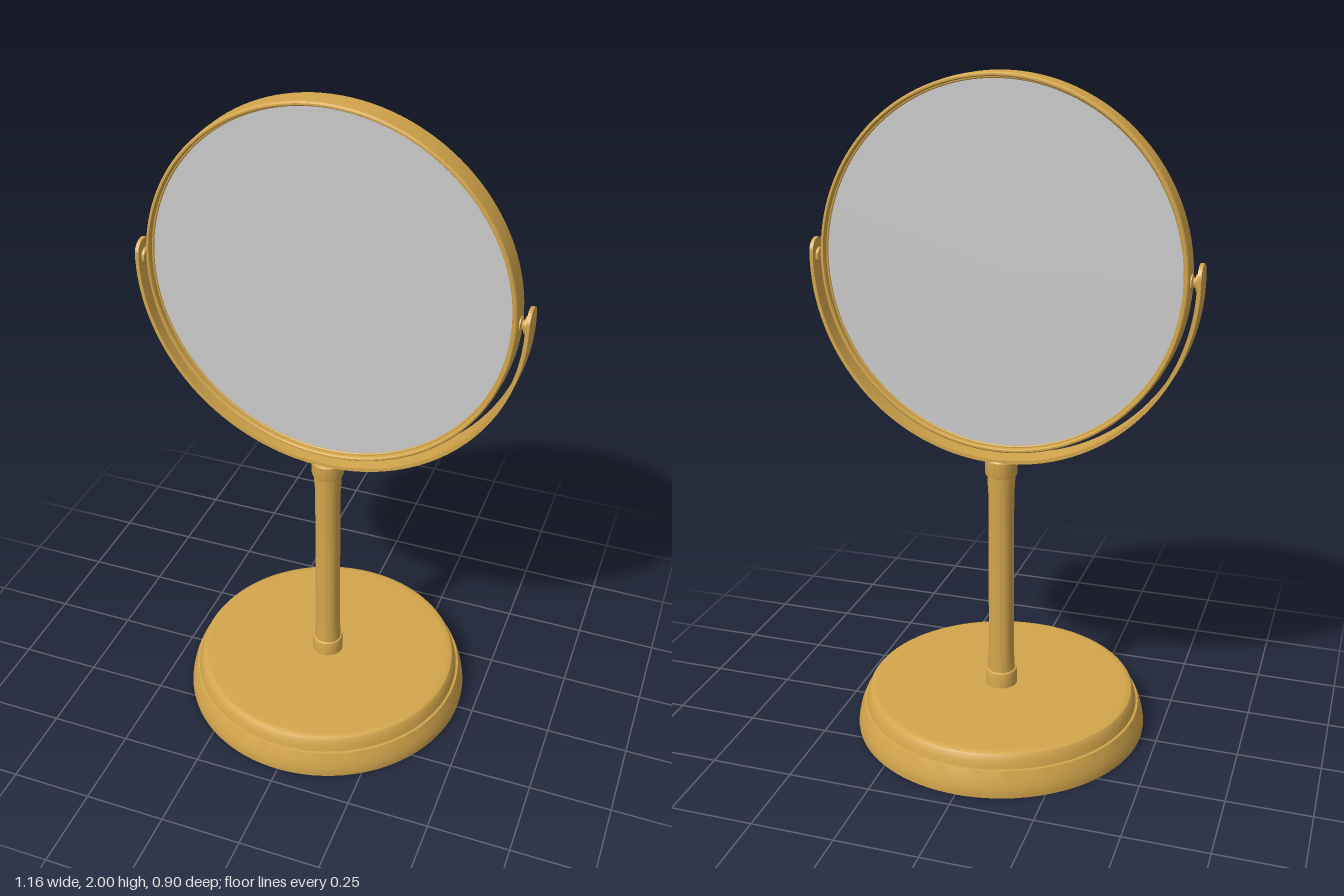
import * as THREE from 'three';
import { toCreasedNormals } from 'three/addons/utils/BufferGeometryUtils.js';

const brass = new THREE.MeshStandardMaterial({ color: 0xd4a64c });
const glass = new THREE.MeshStandardMaterial({ color: 0xc0c0c0 });

function add(parent, name, geometry, material = brass) {
  const mesh = new THREE.Mesh(geometry, material);
  mesh.name = name;
  parent.add(mesh);
  return mesh;
}

// Turned part from [radius, height] pairs, bottom to top
function turned(profile, segments = 96) {
  const points = profile.map(([r, y]) => new THREE.Vector2(r, y));
  return toCreasedNormals(new THREE.LatheGeometry(points, segments), 0.5);
}

// Thin strip bent into a U: half circle, short upright ends, rounded tips
function forkGeometry(radius, upright, width, thickness) {
  const arc = radius * Math.PI / 2;
  const half = arc + upright;
  const w = width / 2;
  const geometry = new THREE.BoxGeometry(2, thickness, 1, 128, 1, 1);
  const p = geometry.attributes.position;
  for (let i = 0; i < p.count; i++) {
    // Stations crowd towards the tips so their rounding is smooth
    const s = Math.sin(p.getX(i) * Math.PI / 2) * half;
    const tip = Math.max(0, w - (half - Math.abs(s))) / w;
    const z = p.getZ(i) * width * Math.sqrt(Math.max(0, 1 - tip * tip));
    const r = radius - p.getY(i);
    const a = THREE.MathUtils.clamp(s, -arc, arc) / radius;
    p.setXYZ(i, r * Math.sin(a), -r * Math.cos(a) + Math.max(0, Math.abs(s) - arc), z);
  }
  return toCreasedNormals(geometry, 0.6);
}

export function createModel() {
  const model = new THREE.Group();
  model.name = 'tableMirror';

  // Stepped round foot
  add(model, 'base', turned([
    [0, 0], [0.449, 0], [0.45, 0.01], [0.447, 0.03], [0.441, 0.055], [0.431, 0.079],
    [0.424, 0.08], [0.423, 0.085], [0.419, 0.1], [0.414, 0.114], [0.409, 0.121], [0.4, 0.125],
    [0.39, 0.1255], [0, 0.1255],
  ]));

  // Post, flaring slightly into a collar at each end
  add(model, 'post', turned([
    [0.042, 0.12], [0.042, 0.19], [0.039, 0.24], [0.039, 0.76], [0.042, 0.81], [0.042, 0.87],
  ], 48));
  const collar = [[0.049, -0.03], [0.049, 0.015], [0.047, 0.022], [0.041, 0.025]];
  add(model, 'lowerCollar', turned(collar, 48)).position.y = 0.152;
  const upper = add(model, 'upperCollar', turned([[0, -0.03], [0.046, -0.03], [0.049, -0.026], ...collar.slice(1)], 48));
  upper.rotation.x = Math.PI;
  upper.position.y = 0.85;

  // Swivelling head, turned very slightly on the post
  const head = new THREE.Group();
  head.name = 'mirrorHead';
  head.position.set(0, 1.455, -0.003);
  head.rotation.y = -0.017;
  model.add(head);

  add(head, 'fork', forkGeometry(0.573, 0.054, 0.081, 0.011));

  // Round frame with a raised lip on both faces
  add(head, 'frame', turned([
    [0.532, -0.008], [0.533, -0.034], [0.536, -0.039], [0.541, -0.039], [0.545, -0.034],
    [0.546, 0], [0.545, 0.034], [0.541, 0.039], [0.536, 0.039], [0.533, 0.034], [0.532, 0.008],
  ], 128)).rotation.x = Math.PI / 2;

  // Recessed mirror faces, front and back, each held by a narrow inner bead
  for (const side of [1, -1]) {
    const name = side > 0 ? 'front' : 'back';
    const pane = add(head, name + 'Mirror', new THREE.CircleGeometry(0.533, 128), glass);
    pane.position.z = side * 0.018;
    pane.rotation.y = side > 0 ? 0 : Math.PI;
    add(head, name + 'Bead', new THREE.TorusGeometry(0.531, 0.004, 8, 128)).position.z = side * 0.019;

    // Pivot knob between frame and fork
    const pivot = add(head, side > 0 ? 'leftPivot' : 'rightPivot', turned([
      [0.022, 0.543], [0.022, 0.549], [0.014, 0.552], [0.014, 0.556], [0.024, 0.559], [0.024, 0.57],
    ], 32));
    pivot.rotation.z = -side * Math.PI / 2;
  }
  return model;
}
